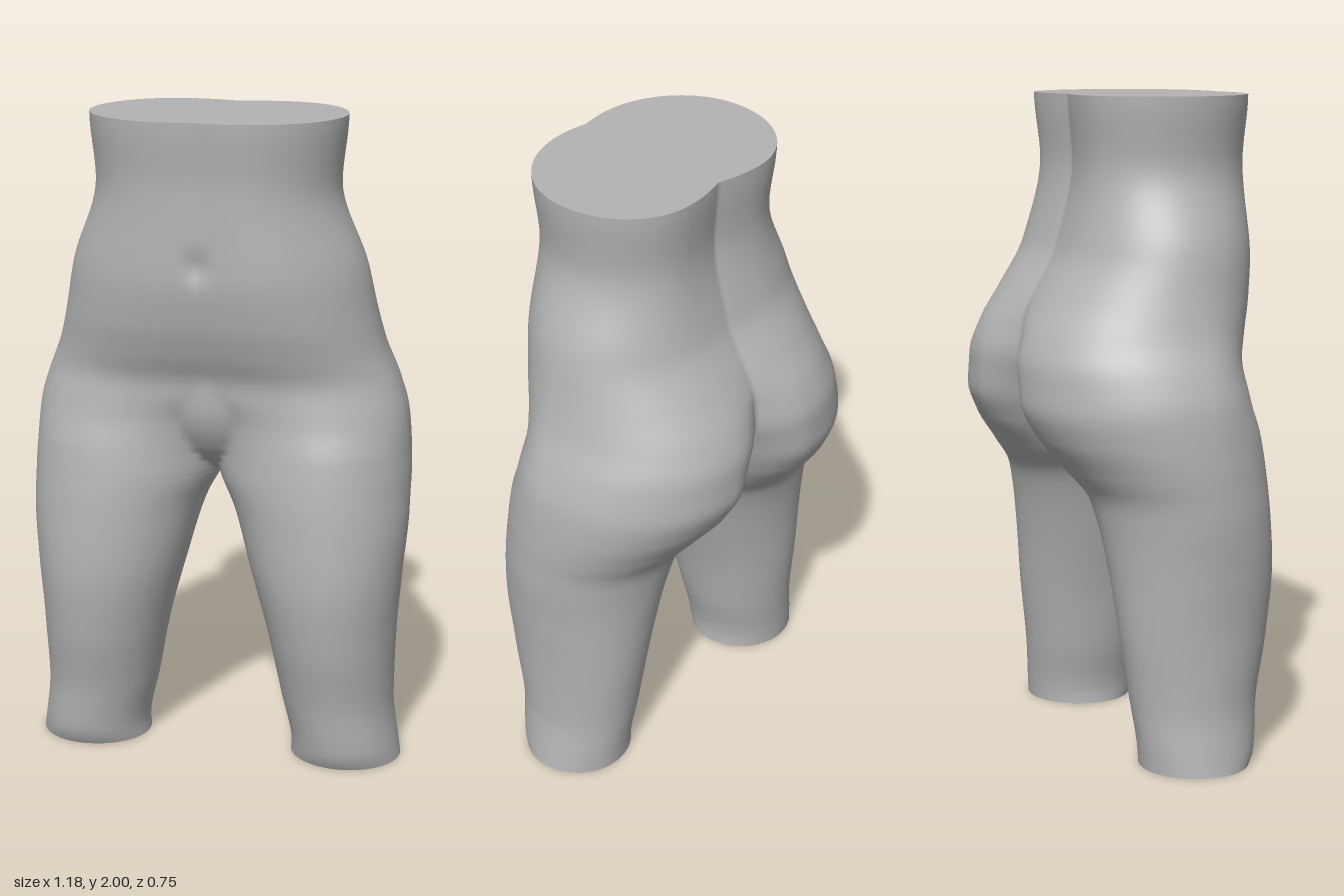
import * as THREE from 'three';
import { mergeVertices } from 'three/addons/utils/BufferGeometryUtils.js';

// Cross-sections of the left half, from the cut leg up to the waist:
// y, outer x, centre z, front z, front crest x, front inner x, back z, back crest x, back inner x
const SECTIONS = [
  [0, .58, .085, .245, .41, .235, -.09, .41, .235],
  [.03, .575, .085, .262, .41, .238, -.092, .41, .238],
  [.2, .555, .09, .285, .385, .205, -.11, .385, .205],
  [.4, .56, .1, .325, .37, .165, -.135, .37, .165],
  [.6, .575, .1, .345, .36, .11, -.155, .34, .11],
  [.8, .59, .08, .335, .34, .05, -.19, .29, .05],
  [.9, .59, .06, .325, .33, 0, -.26, .24, 0],
  [1, .585, .05, .31, .32, -.03, -.335, .2, -.02],
  [1.1, .575, .05, .29, .27, -.1, -.375, .18, -.05],
  [1.2, .545, .05, .285, .2, -.4, -.375, .17, -.11],
  [1.3, .505, .06, .32, .14, -.4, -.345, .16, -.17],
  [1.4, .48, .07, .35, .12, -.4, -.285, .15, -.3],
  [1.55, .45, .08, .37, .1, -.4, -.2, .14, -.3],
  [1.8, .37, .1, .365, .09, -.3, -.153, .14, -.2],
  [2, .387, .1, .38, .09, -.25, -.168, .15, -.21],
];
const CROTCH = .9;

// Smooth interpolation without overshoot
function slope(k, c) {
  if (k === 0 || k === SECTIONS.length - 1) return 0;
  const [a, b, d] = [SECTIONS[k - 1], SECTIONS[k], SECTIONS[k + 1]];
  const s = (b[c] - a[c]) / (b[0] - a[0]), t = (d[c] - b[c]) / (d[0] - b[0]);
  return s * t <= 0 ? 0 : 2 * s * t / (s + t);
}
function sample(y, c) {
  let k = 0;
  while (k < SECTIONS.length - 2 && y > SECTIONS[k + 1][0]) k++;
  const a = SECTIONS[k], b = SECTIONS[k + 1], h = b[0] - a[0], t = (y - a[0]) / h;
  const t2 = t * t, t3 = t2 * t;
  return (2 * t3 - 3 * t2 + 1) * a[c] + (t3 - 2 * t2 + t) * h * slope(k, c)
    + (3 * t2 - 2 * t3) * b[c] + (t3 - t2) * h * slope(k + 1, c);
}

// One half outline at height y: front inner end, round the outside, to the back inner end
function outline(y) {
  const [xOut, zc, zF, cF, inF, zB, cB, inBack] = [1, 2, 3, 4, 5, 6, 7, 8].map(c => sample(y, c));
  const inB = y <= CROTCH ? inF : inBack;
  const quarter = (z, c, inner) => {
    const l = c - inner, start = Math.acos(Math.min(1, c / l)), pts = [];
    for (let i = 0; i < 14; i++) {
      const p = start + (Math.PI / 2 - start) * i / 14;
      pts.push([Math.max(0, c - l * Math.cos(p)), zc + (z - zc) * Math.sin(p)]);
    }
    for (let i = 0; i <= 18; i++) {
      const p = Math.PI / 2 * i / 18;
      pts.push([c + (xOut - c) * Math.sin(p), zc + (z - zc) * Math.cos(p)]);
    }
    return pts;
  };
  const front = quarter(zF, cF, inF);
  for (const p of front) {
    // Rounded lower abdomen between the groin creases
    if (y > CROTCH && y <= 1.2) {
      const t = Math.min(1, (y - CROTCH) / .25);
      p[1] = Math.max(p[1], .06 + .215 * Math.sqrt(Math.sin(t * Math.PI / 2)) - 1.5 * p[0] ** 2);
    }
    // Shallow navel
    p[1] -= .015 * Math.exp(-((p[0] / .04) ** 2) - ((y - 1.58) / .04) ** 2);
  }
  return [...front, ...quarter(zB, cB, inB).reverse().slice(1)];
}

// Skin lofted through the outlines, mirrored and welded along the middle
function skinGeometry() {
  const ys = [];
  for (let i = 0; i <= 80; i++) ys.push(i / 40);
  for (let i = 168; i <= 200; i++) if (i % 5) ys.push(i / 200);
  ys.sort((a, b) => a - b);
  const rows = ys.map(outline), n = rows[0].length, pos = [], index = [];
  for (const side of [1, -1]) {
    const base = pos.length / 3;
    rows.forEach((row, r) => row.forEach(([x, z]) => pos.push(side * x, ys[r], z)));
    for (let r = 0; r < rows.length - 1; r++) {
      for (let i = 0; i < n - 1; i++) {
        const a = base + r * n + i, b = a + 1, c = b + n, d = a + n;
        if (side > 0) index.push(a, b, c, a, c, d);
        else index.push(a, c, b, a, d, c);
      }
    }
  }
  let g = new THREE.BufferGeometry();
  g.setAttribute('position', new THREE.Float32BufferAttribute(pos, 3));
  g.setIndex(index);
  g = mergeVertices(g, 1e-5);
  g.computeVertexNormals();
  return g;
}

// Flat cut face, facing up or down
function capGeometry(points, up) {
  const shape = new THREE.Shape(points.map(([x, z]) => new THREE.Vector2(x, up ? -z : z)));
  return new THREE.ShapeGeometry(shape).rotateX(up ? -Math.PI / 2 : Math.PI / 2);
}

export function createModel() {
  const group = new THREE.Group();
  group.name = 'lowerBodyForm';
  const grey = new THREE.MeshStandardMaterial({ color: 0xb3b3b3 });
  grey.name = 'plainGrey';
  const add = (name, geometry, y = 0) => {
    const mesh = new THREE.Mesh(geometry, grey);
    mesh.name = name;
    mesh.position.y = y;
    group.add(mesh);
  };

  add('hipsAndThighs', skinGeometry());

  // Waist cut
  const waist = outline(2);
  const mirrored = waist.slice(1, -1).reverse().map(([x, z]) => [-x, z]);
  add('waistCap', capGeometry([...waist, ...mirrored], true), 2);

  // Leg cuts
  const leg = outline(0).slice(0, -1);
  add('leftLegCap', capGeometry(leg, false));
  add('rightLegCap', capGeometry(leg.map(([x, z]) => [-x, z]), false));
  return group;
}
